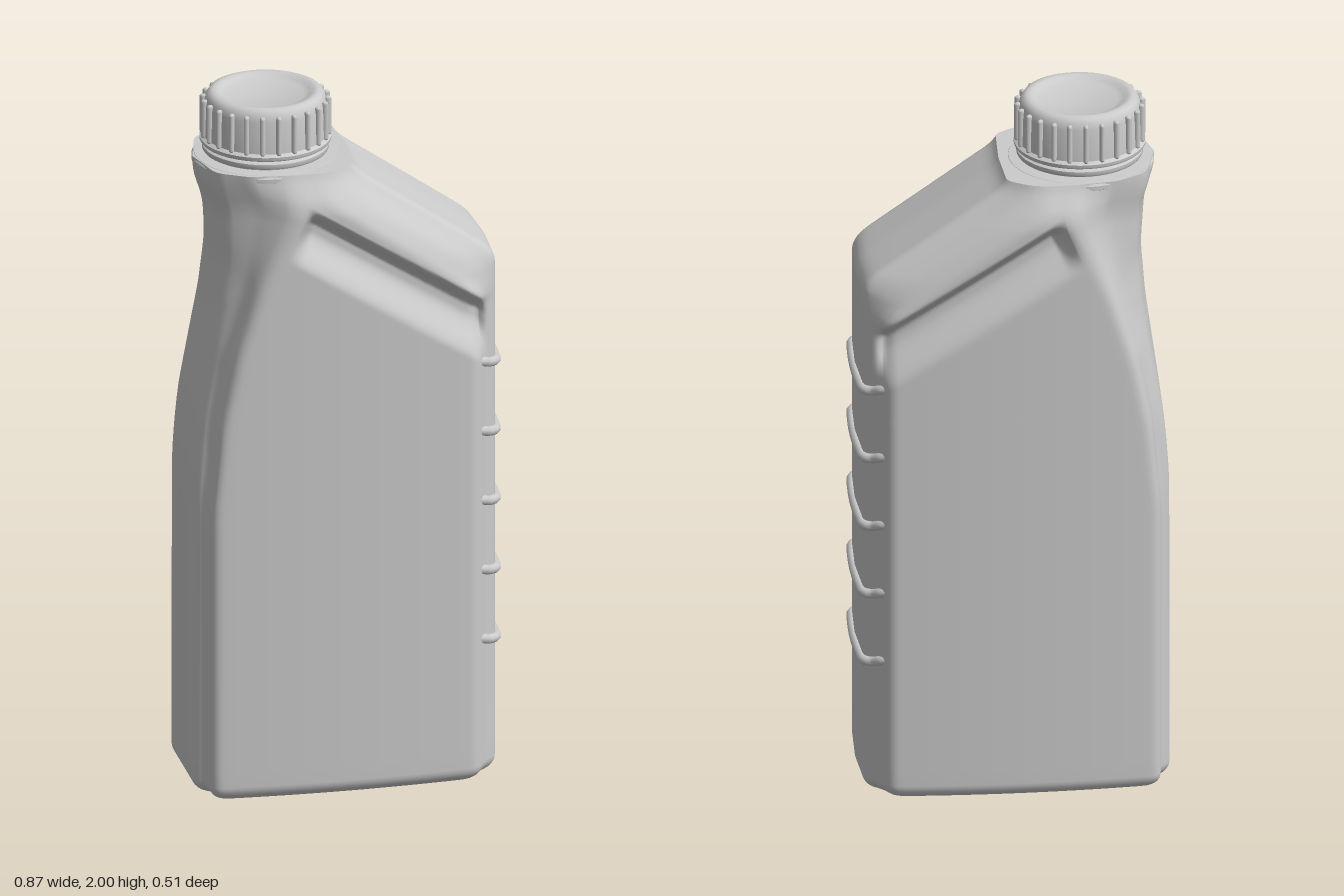
import * as THREE from 'three';
import { toCreasedNormals } from 'three/addons/utils/BufferGeometryUtils.js';

const { lerp, smoothstep } = THREE.MathUtils;
const mat = new THREE.MeshStandardMaterial({ color: 0xcccccc });

// Piecewise-linear table [y, value], softened over a small window
function table(pts, soft = 0.025) {
  const at = y => {
    if (y <= pts[0][0]) return pts[0][1];
    for (let i = 1; i < pts.length; i++) {
      const [y0, a] = pts[i - 1], [y1, b] = pts[i];
      if (y <= y1) return lerp(a, b, (y - y0) / (y1 - y0));
    }
    return pts[pts.length - 1][1];
  };
  return y => [-1, -0.5, 0, 0.5, 1].reduce((s, k) => s + at(y + k * soft), 0) / 5;
}

// Outlines by height: spine, panel edges, back wall and sloping shoulder
const spineX = table([[0, -0.435], [0.9, -0.435], [1.1, -0.422], [1.4, -0.38], [1.55, -0.368], [1.7, -0.378], [1.78, -0.405], [1.9, -0.405]]);
const panelL = table([[0, -0.4], [0.85, -0.4], [1.1, -0.375], [1.3, -0.33], [1.5, -0.265], [1.65, -0.195], [1.72, -0.165], [1.82, -0.17]]);
const panelR = table([[0, 0.347], [1.44, 0.347], [1.74, -0.07], [1.82, -0.085]]);
const backX = table([[0, 0.42], [1.53, 0.42], [1.56, 0.38], [1.81, 0.02], [1.9, 0.015]]);
const spineZ = table([[0, 0.15], [1, 0.15], [1.5, 0.125], [1.82, 0.14]]);
const spineIn = table([[0, 0], [1, 0.002], [1.5, 0.02], [1.82, 0.035]]);
const notchOff = table([[0, -0.004], [1, -0.004], [1.5, -0.03], [1.82, -0.12]]);
const notchZ = table([[0, 0.175], [1.4, 0.178], [1.82, 0.188]]);
const panelZ = table([[0, 0.236], [1.73, 0.236], [1.82, 0.195]]);

// Half cross-section corners at height y: [x, z, fillet, divisions to the next corner]
function corners(y) {
  const xl = spineX(y), pl = panelL(y), pr = panelR(y), xr = backX(y), pz = panelZ(y);
  const t = smoothstep(y, 1.38, 1.5);
  const ix = xr - 0.008;
  return [
    [xl, 0, 0, 4],
    [xl + spineIn(y), spineZ(y), 0.03, 2],
    [pl + notchOff(y), notchZ(y), 0.02, 2],
    [pl, pz, 0.03, 44],
    [pr, pz, 0.025, 3],
    [lerp(pr + 0.028, lerp(pr, ix, 0.5), t), lerp(0.187, lerp(pz, 0.155, 0.5) + 0.012, t), 0.03, 3],
    [ix, 0.155, 0.02, 4],
    [xr, 0, 0, 0],
  ];
}

// Side panel relief: gentle bulge and the slanted grip channel
function relief(x, y, z) {
  const side = smoothstep(z, 0.175, 0.232);
  const bulge = 0.017 * Math.max(0, 1 - ((x + 0.03) / 0.38) ** 2);
  const s = (1.735 - (x + 0.12) * 0.64 - y) / 0.2;
  const channel = smoothstep(s, 0, 0.3) * (1 - smoothstep(s, 0.4, 1));
  const p = panelL(y);
  return z + side * (bulge - 0.055 * channel * smoothstep(x, p + 0.02, p + 0.09));
}

function halfSection(y) {
  const k = corners(y), out = [];
  const toward = (p, q, r) => {
    const f = Math.min(r / Math.hypot(q[0] - p[0], q[1] - p[1]), 0.45);
    return [lerp(p[0], q[0], f), lerp(p[1], q[1], f)];
  };
  k.forEach((p, i) => {
    if (i === 0 || i === k.length - 1) out.push([p[0], p[1]]);
    else {
      const a = toward(p, k[i - 1], p[2]), b = toward(p, k[i + 1], p[2]);
      for (let n = 0; n <= 5; n++) {
        const t = n / 5, u = 1 - t;
        out.push([0, 1].map(c => u * u * a[c] + 2 * u * t * p[c] + t * t * b[c]));
      }
    }
    if (i < k.length - 1) {
      const q = k[i + 1], a = out[out.length - 1], b = i + 1 < k.length - 1 ? toward(q, p, q[2]) : q;
      for (let n = 1; n < p[3]; n++) out.push([lerp(a[0], b[0], n / p[3]), lerp(a[1], b[1], n / p[3])]);
    }
  });
  return out.map(([x, z]) => [x, relief(x, y, z)]);
}

// Bottle shell from stacked cross-sections
function bodyGeometry() {
  const ys = [], R = 0.045, TOP = 1.82;
  for (let i = 0; i < 8; i++) ys.push(R * (1 - Math.cos(i / 8 * Math.PI / 2)));
  for (let i = 0; i < 24; i++) ys.push(lerp(R, 1.15, i / 24));
  for (let i = 0; i <= 90; i++) ys.push(lerp(1.15, TOP, i / 90));
  const pos = [], idx = [];
  let n = 0;
  for (const y of ys) {
    const half = halfSection(y);
    const ring = [...half, ...half.slice(1, -1).reverse().map(([x, z]) => [x, -z])];
    n = ring.length;
    // rounded foot
    const inset = y < R ? R - Math.sqrt(R * R - (R - y) ** 2) : 0;
    for (const [x, z] of ring) pos.push(x * (1 - inset / 0.43), y, z * (1 - inset / 0.24));
  }
  for (let r = 0; r < ys.length - 1; r++) for (let j = 0; j < n; j++) {
    const a = r * n + j, b = r * n + (j + 1) % n;
    idx.push(a, b, a + n, b, b + n, a + n);
  }
  // base and top faces with their own vertices
  const cap = (row, cx, up) => {
    const c = pos.length / 3;
    pos.push(cx, ys[row], 0);
    for (let j = 0; j < n; j++) pos.push(...pos.slice((row * n + j) * 3, (row * n + j) * 3 + 3));
    for (let j = 0; j < n; j++) {
      const a = c + 1 + j, b = c + 1 + (j + 1) % n;
      idx.push(c, ...(up ? [a, b] : [b, a]));
    }
  };
  cap(0, 0, false);
  cap(ys.length - 1, -0.2, true);
  const g = new THREE.BufferGeometry();
  g.setAttribute('position', new THREE.Float32BufferAttribute(pos, 3));
  g.setIndex(idx);
  g.computeVertexNormals();
  return g;
}

function lathe(name, pts, crease = 0.6) {
  const g = new THREE.LatheGeometry(pts.map(p => new THREE.Vector2(...p)), 72);
  const m = new THREE.Mesh(toCreasedNormals(g, crease), mat);
  m.name = name;
  return m;
}

export function createModel() {
  const model = new THREE.Group();
  model.name = 'bottle';
  const add = (parent, name, geo) => {
    const m = new THREE.Mesh(geo, mat);
    m.name = name;
    parent.add(m);
    return m;
  };
  add(model, 'body', bodyGeometry());

  // Grip ribs wrapping the back wall
  const half = [[0.345, 0.02, 0.205], [0.366, 0.014, 0.196], [0.386, 0.003, 0.176], [0.41, 0, 0.157], [0.416, 0, 0.12]];
  const path = [...half, [0.421, 0, 0], ...half.slice().reverse().map(([x, y, z]) => [x, y, -z])];
  const rib = new THREE.TubeGeometry(new THREE.CatmullRomCurve3(path.map(p => new THREE.Vector3(...p))), 48, 0.014, 10);
  for (let i = 0; i < 5; i++) add(model, 'backRib', rib).position.y = 0.395 + i * 0.204;

  // Neck and screw cap
  const closure = new THREE.Group();
  closure.name = 'closure';
  closure.position.x = -0.2;
  closure.add(
    lathe('neck', [[0.19, 1.79], [0.203, 1.8], [0.203, 1.812], [0.196, 1.821], [0.16, 1.823], [0.16, 1.86]]),
    lathe('tamperRing', [[0.155, 1.829], [0.171, 1.829], [0.174, 1.834], [0.174, 1.844], [0.167, 1.849], [0.155, 1.85]]),
    lathe('cap', [[0.15, 1.855], [0.178, 1.855], [0.181, 1.86], [0.181, 1.867], [0.171, 1.874], [0.168, 1.965], [0.164, 1.983],
      [0.156, 1.995], [0.145, 2], [0.132, 1.999], [0.122, 1.992], [0.106, 1.986], [0, 1.986]]),
  );
  const ridge = new THREE.CapsuleGeometry(0.0075, 0.1, 4, 8);
  for (let i = 0; i < 24; i++) {
    const a = i / 24 * Math.PI * 2;
    const m = add(closure, 'capRidge', ridge);
    m.position.set(Math.cos(a) * 0.171, 1.926, Math.sin(a) * 0.171);
    m.rotation.y = -a;
    m.scale.x = 1.3;
  }
  model.add(closure);
  return model;
}
